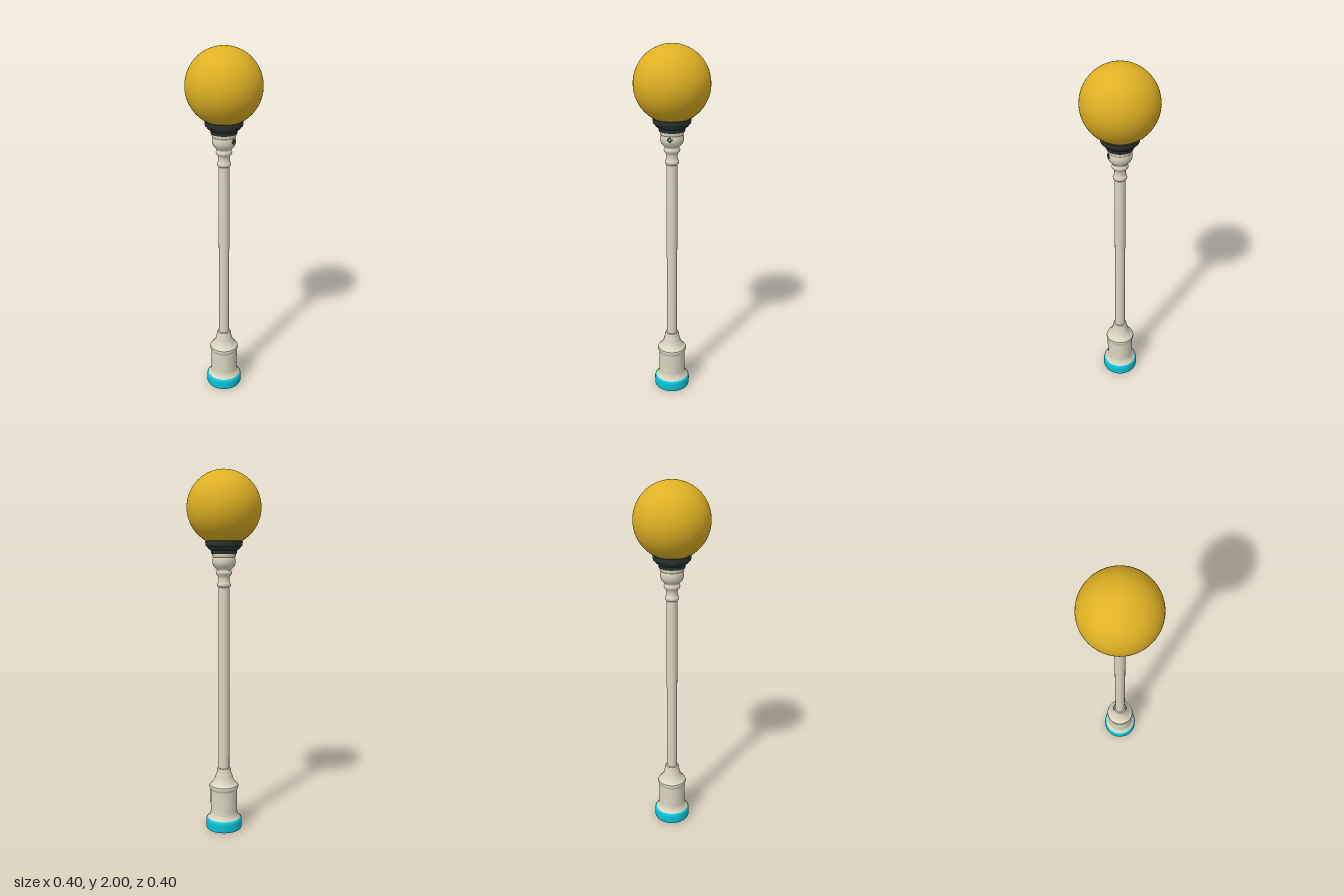
import * as THREE from 'three';

const mat = (name, color, side = THREE.FrontSide) => {
  const m = new THREE.MeshStandardMaterial({ color, side });
  m.name = name;
  return m;
};

// Lathe from [radius, y, crease?] points, bottom to top; creased points are doubled for a sharp edge
function lathe(name, profile, material, segments = 48) {
  const pts = [];
  for (const [r, y, crease] of profile) {
    pts.push(new THREE.Vector2(r, y));
    if (crease) pts.push(new THREE.Vector2(r, y));
  }
  const mesh = new THREE.Mesh(new THREE.LatheGeometry(pts, segments), material);
  mesh.name = name;
  return mesh;
}

export function createModel() {
  const cream = mat('cream paint', 0xdad5c0, THREE.DoubleSide);
  const cyan = mat('cyan paint', 0x08c4d8, THREE.DoubleSide);
  const dark = mat('dark metal', 0x303836, THREE.DoubleSide);
  const amber = mat('amber globe', 0xdeb024);
  const lamp = new THREE.Group();
  lamp.name = 'streetLamp';

  // Hollow foot ring, open underneath
  lamp.add(lathe('footRing', [
    [0.099, 0], [0.102, 0.008], [0.102, 0.048], [0.1, 0.056], [0.093, 0.062],
  ], cyan));

  // Pedestal with flared foot, drum, moulding and stepped shoulder
  lamp.add(lathe('pedestal', [
    [0.093, 0.062], [0.085, 0.07], [0.078, 0.084], [0.075, 0.1], [0.075, 0.225, 1],
    [0.081, 0.236], [0.083, 0.246], [0.081, 0.255, 1], [0.068, 0.266], [0.058, 0.28],
    [0.053, 0.293, 1], [0.049, 0.296], [0.047, 0.312], [0.044, 0.322, 1],
    [0.041, 0.325], [0.041, 0.342], [0.037, 0.352, 1], [0.029, 0.354],
  ], cream));

  // Slender shaft
  lamp.add(lathe('shaft', [[0.03, 0.35], [0.029, 1.38]], cream, 32));

  // Neck rings and cup
  lamp.add(lathe('neck', [
    [0.029, 1.375], [0.037, 1.383], [0.038, 1.39], [0.036, 1.397, 1], [0.031, 1.405],
    [0.03, 1.425], [0.034, 1.438], [0.043, 1.448], [0.044, 1.456], [0.041, 1.464, 1],
    [0.035, 1.469], [0.045, 1.477], [0.057, 1.491], [0.063, 1.508], [0.063, 1.525],
    [0.06, 1.538, 1], [0.064, 1.543], [0.064, 1.562, 1], [0, 1.562],
  ], cream));

  // Stepped collar holding the globe
  lamp.add(lathe('collar', [
    [0.06, 1.556, 1], [0.069, 1.557], [0.071, 1.574, 1], [0.086, 1.584], [0.093, 1.596, 1],
    [0.099, 1.599], [0.102, 1.624, 1], [0.09, 1.627],
  ], dark));

  const globe = new THREE.Mesh(new THREE.SphereGeometry(0.2, 64, 40), amber);
  globe.name = 'globe';
  globe.position.y = 1.8;
  lamp.add(globe);

  // Curved access panel on the front of the pedestal
  const panel = new THREE.Mesh(
    new THREE.CylinderGeometry(0.078, 0.0765, 0.08, 16, 1, true, -0.7, 1.4), cream);
  panel.name = 'accessPanel';
  panel.position.y = 0.18;
  lamp.add(panel);

  // Small dark cross of studs on the front of the cup
  const ornament = new THREE.Group();
  ornament.name = 'cupOrnament';
  for (const [x, y] of [[-0.009, 0], [0.009, 0], [0, 0.01], [0, -0.009]]) {
    const stud = new THREE.Mesh(new THREE.CylinderGeometry(0.006, 0.006, 0.006, 10), dark);
    stud.name = 'stud';
    stud.rotation.x = Math.PI / 2;
    stud.position.set(x, 1.521 + y, 0.062);
    ornament.add(stud);
  }
  lamp.add(ornament);

  return lamp;
}
